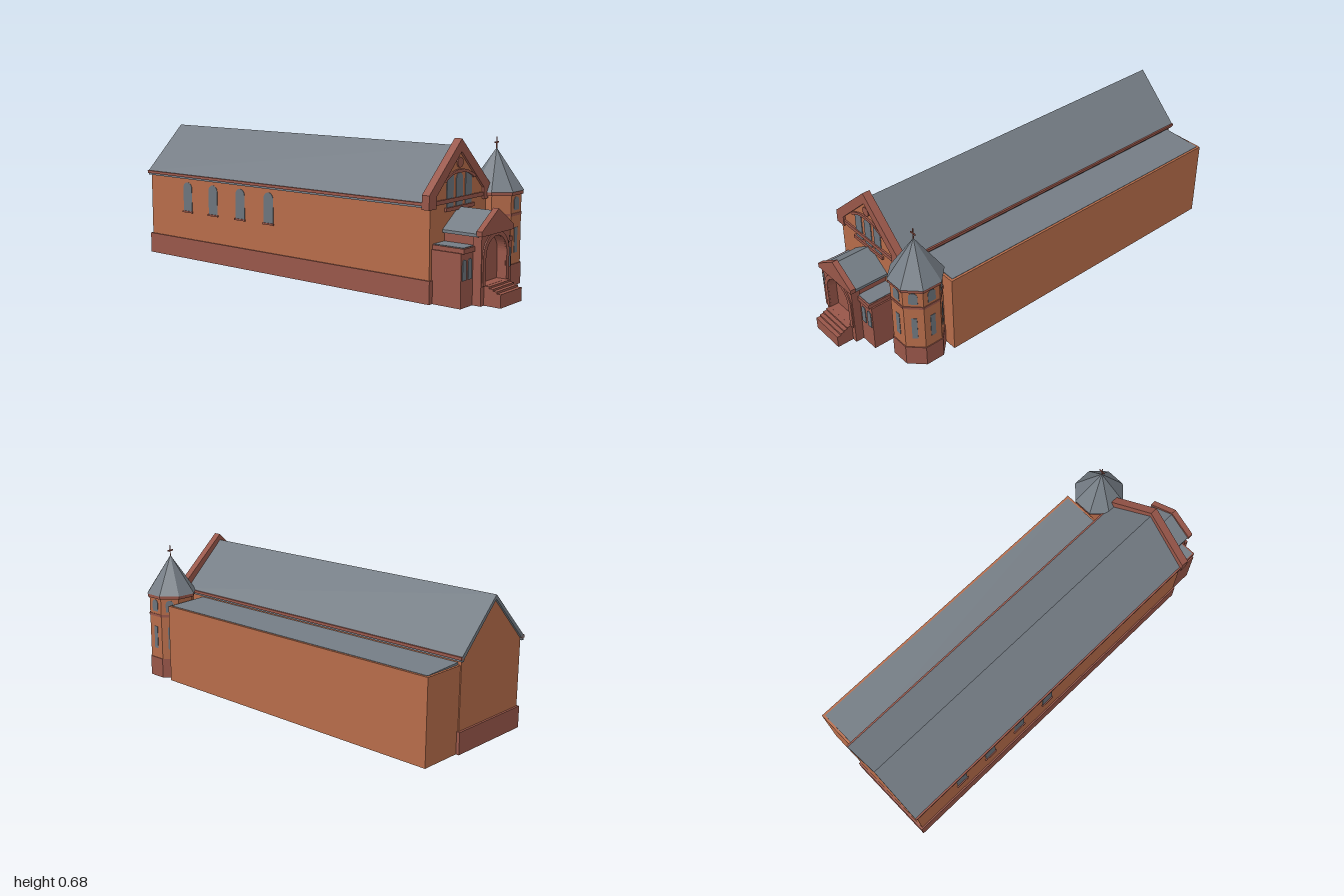
import * as THREE from 'three';

const mat = (name, color) => {
  const m = new THREE.MeshStandardMaterial({ color });
  m.name = name;
  m.flatShading = true;
  return m;
};

export function createModel() {
  const brick = mat('orange brick', 0xb66c4a);
  const stone = mat('red sandstone', 0x985649);
  const slate = mat('slate', 0x747c84);
  const glass = mat('window glass', 0x6c747c);
  const wood = mat('dark door', 0x5f4a37);

  const model = new THREE.Group();
  model.name = 'church';
  const axisZ = 0.1; // centre line of nave and porch

  const add = (name, geo, material, parent = model) => {
    const m = new THREE.Mesh(geo, material);
    m.name = name;
    parent.add(m);
    return m;
  };
  // Box given by its limits
  const box = (name, material, x0, x1, y0, y1, z0, z1) =>
    add(name, new THREE.BoxGeometry(x1 - x0, y1 - y0, z1 - z0)
      .translate((x0 + x1) / 2, (y0 + y1) / 2, (z0 + z1) / 2), material);
  const poly = (pts) => new THREE.Shape(pts.map(([a, b]) => new THREE.Vector2(a, b)));
  // Outline from its right half, mirrored
  const mirrored = (half) =>
    poly([...half, ...half.slice().reverse().filter(([a]) => a !== 0).map(([a, b]) => [-a, b])]);
  const extrude = (shape, depth) =>
    new THREE.ExtrudeGeometry(shape, { depth, bevelEnabled: false, curveSegments: 12 });
  // Cross-section (offset from the centre line, height) drawn out along x
  const alongX = (name, shape, material, x0, x1, z = axisZ) =>
    add(name, extrude(shape, x1 - x0).rotateY(Math.PI / 2).translate(x0, 0, z), material);
  // Four walls without floor or ceiling
  const walls = (name, material, x0, x1, y0, y1, z0, z1, t = 0.008) => {
    const rect = (d) => [[x0 + d, -z1 + d], [x1 - d, -z1 + d], [x1 - d, -z0 - d], [x0 + d, -z0 - d]];
    const s = poly(rect(0));
    s.holes.push(poly(rect(t)));
    return add(name, extrude(s, y1 - y0).rotateX(-Math.PI / 2).translate(0, y0, 0), material);
  };
  // Round-headed outline
  const arch = (w, y0, y1, c = 0, Type = THREE.Shape) => {
    const s = new Type();
    s.moveTo(c - w / 2, y0);
    s.lineTo(c + w / 2, y0);
    s.lineTo(c + w / 2, y1 - w / 2);
    s.absarc(c, y1 - w / 2, w / 2, 0, Math.PI, false);
    s.lineTo(c - w / 2, y0);
    return s;
  };

  // Nave
  walls('naveWalls', brick, -0.99, 0.735, 0.09, 0.42, -0.115, 0.315);
  walls('navePlinth', stone, -1, 0.742, 0, 0.1, -0.122, 0.322, 0.018);
  alongX('backGable', mirrored([[0, 0.63], [0.215, 0.42]]), brick, -0.99, -0.98);
  alongX('naveRoof', mirrored([[0, 0.645], [0.226, 0.424], [0.226, 0.415], [0.21, 0.415], [0, 0.625]]),
    slate, -1, 0.72);
  for (const s of [-1, 1]) {
    const a = axisZ + s * 0.212, b = axisZ + s * 0.233;
    box('eavesGutter', stone, -1, 0.72, 0.412, 0.425, Math.min(a, b), Math.max(a, b));
    const c = axisZ + s * 0.226;
    box('eavesBoard', slate, -1, 0.72, 0.403, 0.412, Math.min(a, c), Math.max(a, c));
  }
  for (const x of [-0.72, -0.54, -0.355, -0.17]) {
    add('naveWindow', extrude(arch(0.06, 0.24, 0.385), 0.004), glass).position.set(x, 0, 0.313);
    box('naveSill', stone, x - 0.035, x + 0.035, 0.233, 0.241, 0.305, 0.322);
  }

  // Side aisle
  walls('aisleWalls', brick, -0.985, 0.615, 0, 0.385, -0.33, -0.115, 0.012);
  alongX('aisleRoof', poly([[0.319, 0.375], [0.319, 0.387], [0.118, 0.396], [0.118, 0.375]]),
    slate, -0.974, 0.604, 0);

  // Gabled facade
  alongX('facadeWall', mirrored([[0, 0.65], [0.215, 0.45], [0.215, 0]]), brick, 0.72, 0.736);
  alongX('gableCoping', mirrored([[0, 0.675], [0.237, 0.458], [0.237, 0.397], [0.183, 0.397],
    [0.183, 0.448], [0, 0.62]]), stone, 0.71, 0.747);
  alongX('facadeBand', mirrored([[0.184, 0.428], [0.184, 0.41]]), stone, 0.73, 0.744);
  alongX('facadeSill', mirrored([[0.108, 0.391], [0.108, 0.375]]), stone, 0.73, 0.746);
  alongX('middleWindow', arch(0.05, 0.391, 0.53), glass, 0.735, 0.739);
  for (const s of [-1, 1]) {
    alongX('sideWindow', poly([[0.046, 0.391], [0.095, 0.391], [0.095, 0.508], [0.085, 0.517],
      [0.068, 0.525], [0.046, 0.528]].map(([a, b]) => [s * a, b])), glass, 0.735, 0.739);
  }
  alongX('windowArch', mirrored([[0, 0.546], [0.03, 0.544], [0.06, 0.537], [0.095, 0.523],
    [0.12, 0.508], [0.12, 0.5], [0.105, 0.5], [0.095, 0.509], [0.06, 0.525], [0.03, 0.53], [0, 0.531]]),
  stone, 0.73, 0.744);
  add('gableRoundel', new THREE.CylinderGeometry(0.022, 0.022, 0.008, 20).rotateZ(Math.PI / 2), stone)
    .position.set(0.738, 0.574, axisZ);

  // Porch wings
  for (const s of [-1, 1]) {
    const span = (a, b) => [axisZ + s * a, axisZ + s * b].sort((p, q) => p - q);
    box('wing', stone, 0.73, 0.88, 0, 0.23, ...span(0.09, 0.199));
    box('wingCornice', stone, 0.73, 0.889, 0.228, 0.249, ...span(0.09, 0.192));
    box('wingRoof', slate, 0.735, 0.881, 0.245, 0.252, ...span(0.09, 0.186));
    for (const c of [0.134, 0.176])
      alongX('wingWindow', arch(0.028, 0.115, 0.202, s * c), glass, 0.878, 0.883);
  }

  // Central porch
  walls('porchWalls', stone, 0.73, 0.88, 0, 0.295, axisZ - 0.105, axisZ + 0.105);
  alongX('porchRoof', mirrored([[0, 0.386], [0.122, 0.303], [0.122, 0.29]]), slate, 0.735, 0.91);
  const front = mirrored([[0, 0.3], [0.11, 0.3], [0.11, 0]]);
  front.holes.push(arch(0.162, 0.083, 0.283, 0, THREE.Path));
  alongX('porchFront', front, stone, 0.878, 0.92);
  alongX('porchGable', mirrored([[0, 0.397], [0.127, 0.315], [0.127, 0.294], [0, 0.294]]),
    stone, 0.905, 0.932);
  const ring = arch(0.206, 0.083, 0.303);
  ring.holes.push(arch(0.164, 0.0835, 0.283, 0, THREE.Path));
  alongX('doorSurround', ring, stone, 0.915, 0.926);
  alongX('door', arch(0.17, 0.08, 0.287), wood, 0.872, 0.879);
  [[0.945, 0.083], [0.963, 0.075], [0.981, 0.067], [1, 0.058]].forEach(([x, h]) =>
    box('step', stone, 0.9, x, 0, h, axisZ - 0.085, axisZ + 0.085));

  // Octagonal tower, sized by the distance from axis to flat side
  const tower = new THREE.Group();
  tower.name = 'tower';
  tower.position.set(0.722, 0, -0.222);
  model.add(tower);
  const oct = (name, material, y0, y1, r, rTop = r) => {
    const k = 1 / Math.cos(Math.PI / 8);
    return add(name, new THREE.CylinderGeometry(rTop * k, r * k, y1 - y0, 8)
      .rotateY(Math.PI / 8).translate(0, (y0 + y1) / 2, 0), material, tower);
  };
  oct('towerPlinth', stone, 0, 0.098, 0.11);
  oct('towerShaft', brick, 0.098, 0.41, 0.106);
  oct('towerBand', stone, 0.315, 0.327, 0.109);
  oct('towerCornice', stone, 0.408, 0.424, 0.114);
  oct('towerRoof', slate, 0.424, 0.61, 0.117, 0);
  for (let i = 2; i <= 5; i++) {
    const face = new THREE.Group();
    face.name = 'towerWindows';
    face.rotation.y = i * Math.PI / 4;
    tower.add(face);
    add('upperWindow', extrude(arch(0.04, 0.34, 0.4), 0.004).translate(0, 0, 0.104), glass, face);
    add('lowerWindow', new THREE.BoxGeometry(0.025, 0.114, 0.004).translate(0, 0.205, 0.106), glass, face);
  }
  // Finial
  add('finialPole', new THREE.BoxGeometry(0.005, 0.055, 0.002).translate(0, 0.632, 0), stone, tower);
  add('finialBar', new THREE.BoxGeometry(0.004, 0.007, 0.032).translate(0, 0.634, 0), stone, tower);

  return model;
}
